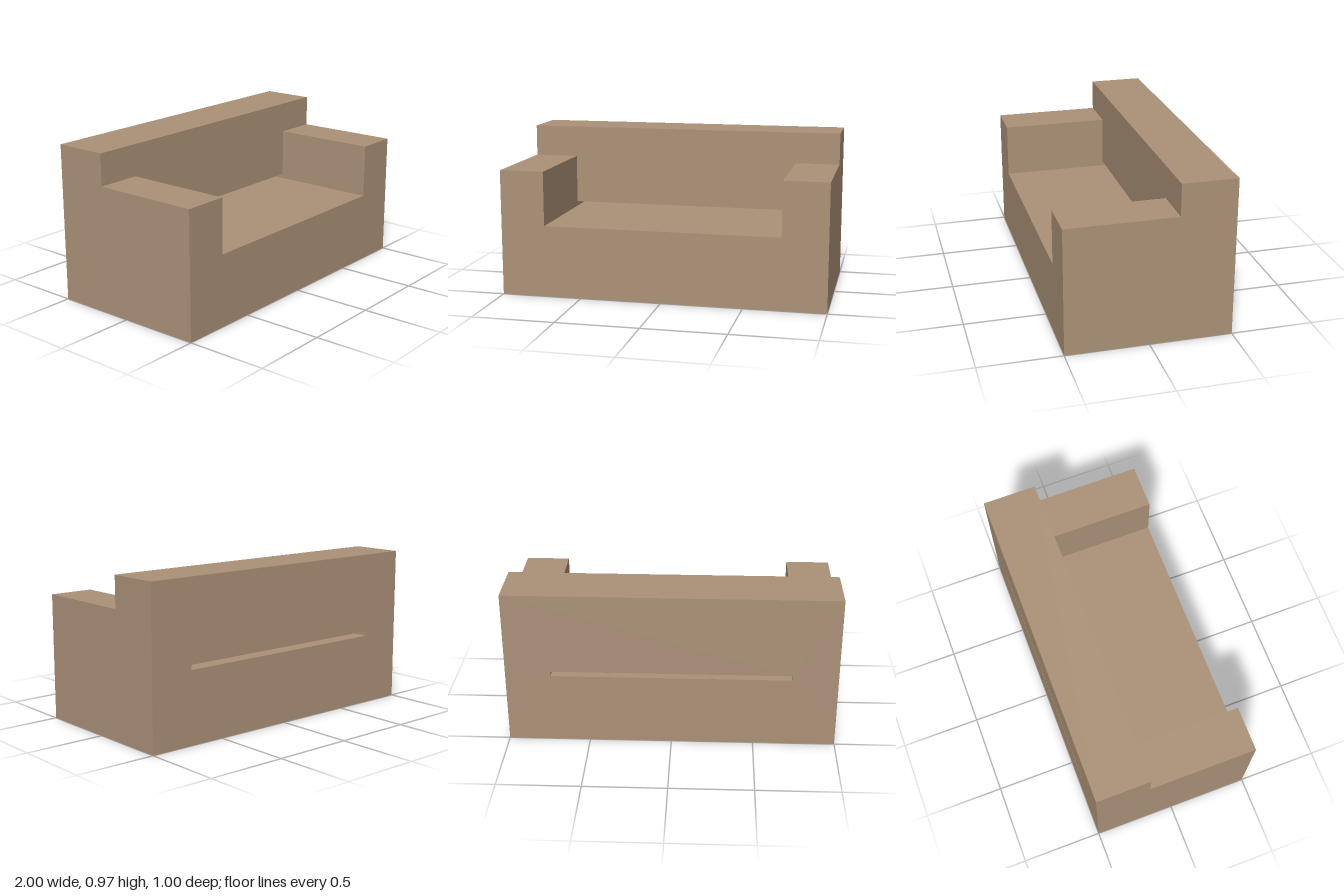
import * as THREE from 'three';

const W = 1, D = 0.5;            // half width, half depth
const INNER = 0.725;             // half width between the arms
const SEAT_Y = 0.443, ARM_Y = 0.778, BACK_Y = 0.973;
const SLOT_Y = 0.473;            // top of the gap under the backrest
const BACK_Z = -0.167;           // front plane of the backrest

const upholstery = new THREE.MeshStandardMaterial({ color: 0xac9278 });

function polygon(points, Type = THREE.Shape) {
  return new Type(points.map(([x, y]) => new THREE.Vector2(x, y)));
}

// Extrude a front-facing outline between two depths
function slab(name, shape, z0, z1) {
  const geometry = new THREE.ExtrudeGeometry(shape, { depth: z1 - z0, bevelEnabled: false });
  geometry.translate(0, 0, z0);
  const mesh = new THREE.Mesh(geometry, upholstery);
  mesh.name = name;
  return mesh;
}

export function createModel() {
  const sofa = new THREE.Group();
  sofa.name = 'sofa';

  // Seat with an arm on each side, as one U-shaped block
  const seat = polygon([
    [-W, 0], [W, 0], [W, ARM_Y], [INNER, ARM_Y],
    [INNER, SEAT_Y], [-INNER, SEAT_Y], [-INNER, ARM_Y], [-W, ARM_Y],
  ]);
  sofa.add(slab('seatAndArms', seat, BACK_Z, D));

  // Backrest with the narrow slot running through it at seat level
  const back = polygon([[-W, 0], [W, 0], [W, BACK_Y], [-W, BACK_Y]]);
  back.holes.push(polygon([
    [-INNER, SEAT_Y], [-INNER, SLOT_Y], [INNER, SLOT_Y], [INNER, SEAT_Y],
  ], THREE.Path));
  sofa.add(slab('backrest', back, -D, BACK_Z));

  return sofa;
}
